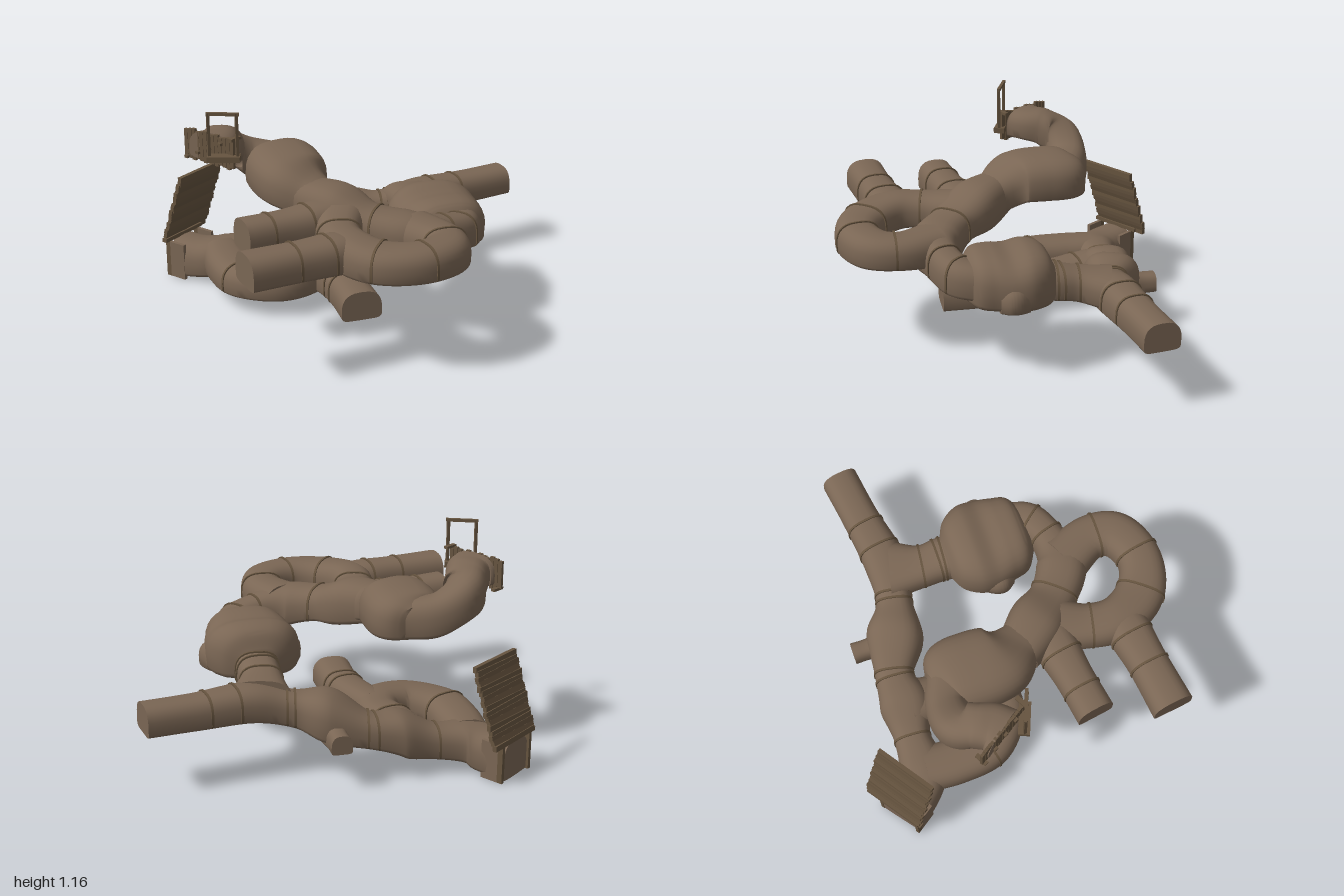
import * as THREE from 'three';
import { toCreasedNormals } from 'three/addons/utils/BufferGeometryUtils.js';

const rock = new THREE.MeshStandardMaterial({ color: 0x7a6654 });
rock.name = 'brown rock';
const timber = new THREE.MeshStandardMaterial({ color: 0x66543f });
timber.name = 'dark timber';

const SIDES = 28;

// Arch with a broad flat floor, half width 1 and height 1
function archPoint(j) {
  const a = (j / SIDES) * Math.PI * 2;
  const c = Math.cos(a), s = Math.sin(a);
  const x = Math.sign(c) * Math.pow(Math.abs(c), s >= 0 ? 0.72 : 0.35);
  const y = s >= 0 ? 0.38 + 0.62 * Math.pow(s, 0.82) : 0.38 - 0.38 * Math.pow(-s, 0.3);
  return [x, y];
}

// Closed solid from a row of sections { pos, dir, w, h }
function sweep(sections) {
  const pos = [], idx = [];
  const n = sections.length;
  for (const { pos: p, dir, w, h } of sections) {
    for (let j = 0; j < SIDES; j++) {
      const [u, v] = archPoint(j);
      pos.push(p.x - dir.z * u * w, p.y + v * h, p.z + dir.x * u * w);
    }
  }
  for (let i = 0; i < n - 1; i++) {
    for (let j = 0; j < SIDES; j++) {
      const k = (j + 1) % SIDES, a = i * SIDES, b = a + SIDES;
      idx.push(a + j, b + j, a + k, a + k, b + j, b + k);
    }
  }
  for (const [i, first] of [[0, true], [n - 1, false]]) {
    const s = sections[i], c = pos.length / 3;
    pos.push(s.pos.x, s.pos.y + s.h * 0.45, s.pos.z);
    for (let j = 0; j < SIDES; j++) {
      const a = i * SIDES + j, b = i * SIDES + (j + 1) % SIDES;
      if (first) idx.push(c, a, b); else idx.push(c, b, a);
    }
  }
  const g = new THREE.BufferGeometry();
  g.setAttribute('position', new THREE.Float32BufferAttribute(pos, 3));
  g.setIndex(idx);
  return toCreasedNormals(g, 0.8);
}

// Tunnel through points [x, floor y, z, half width, height]; timber arches near [x, z]
function tunnel(parent, name, points, arches = []) {
  const path = new THREE.CatmullRomCurve3(points.map(p => new THREE.Vector3(p[0], p[1], p[2])), false, 'catmullrom');
  const size = new THREE.CatmullRomCurve3(points.map(p => new THREE.Vector3(p[3], p[4], 0)), false, 'catmullrom');
  const at = t => {
    const s = size.getPoint(t);
    return { pos: path.getPoint(t), dir: path.getTangent(t).setY(0).normalize(), w: s.x, h: s.y };
  };
  const steps = (points.length - 1) * 8;
  const sections = Array.from({ length: steps + 1 }, (_, i) => at(i / steps));
  const mesh = new THREE.Mesh(sweep(sections), rock);
  mesh.name = name;
  parent.add(mesh);

  for (const [x, z] of arches) {
    let best = 0, dist = Infinity;
    for (let i = 0; i <= 200; i++) {
      const p = path.getPoint(i / 200);
      const d = Math.hypot(p.x - x, p.z - z);
      if (d < dist) { dist = d; best = i / 200; }
    }
    const s = at(best);
    const ends = [-0.006, 0.006].map(o => ({
      pos: s.pos.clone().addScaledVector(s.dir, o).setY(s.pos.y + 0.003),
      dir: s.dir, w: s.w + 0.005, h: s.h + 0.004
    }));
    const arch = new THREE.Mesh(sweep(ends), timber);
    arch.name = 'timberArch';
    parent.add(arch);
  }
}

function box(parent, name, size, position, rotY = 0, material = timber) {
  const m = new THREE.Mesh(new THREE.BoxGeometry(...size), material);
  m.name = name;
  m.position.set(...position);
  m.rotation.y = rotY;
  parent.add(m);
  return m;
}

export function createModel() {
  const model = new THREE.Group();
  model.name = 'tunnelNetwork';

  // Upper level: two dead ends and the loop
  tunnel(model, 'frontTunnel', [
    [-0.925, 0.555, 0.69, 0.11, 0.17], [-0.65, 0.55, 0.655, 0.105, 0.17],
    [-0.42, 0.545, 0.62, 0.115, 0.175], [-0.3, 0.545, 0.6, 0.07, 0.14]
  ], [[-0.67, 0.66], [-0.49, 0.63]]);
  tunnel(model, 'secondTunnel', [
    [-0.825, 0.56, 0.3, 0.1, 0.17], [-0.6, 0.555, 0.265, 0.1, 0.17],
    [-0.42, 0.555, 0.235, 0.115, 0.18], [-0.25, 0.56, 0.2, 0.12, 0.18]
  ], [[-0.68, 0.28], [-0.47, 0.245]]);
  tunnel(model, 'loopTunnel', [
    [-0.28, 0.56, 0.24, 0.14, 0.18], [-0.355, 0.55, 0.42, 0.115, 0.17], [-0.37, 0.545, 0.6, 0.12, 0.18],
    [-0.27, 0.535, 0.765, 0.13, 0.17], [-0.09, 0.53, 0.83, 0.118, 0.17], [0.08, 0.525, 0.765, 0.12, 0.17],
    [0.12, 0.52, 0.62, 0.118, 0.165], [0.04, 0.49, 0.43, 0.14, 0.2]
  ], [[-0.35, 0.45], [-0.27, 0.765], [-0.05, 0.83], [0.125, 0.66]]);
  tunnel(model, 'crossTunnel', [
    [-0.4, 0.6, 0.02, 0.12, 0.19], [-0.26, 0.55, 0.18, 0.15, 0.235], [-0.14, 0.53, 0.315, 0.125, 0.18],
    [0.03, 0.48, 0.43, 0.135, 0.21], [0.2, 0.47, 0.42, 0.095, 0.18], [0.34, 0.44, 0.355, 0.1, 0.18],
    [0.38, 0.42, 0.24, 0.11, 0.18]
  ], [[-0.12, 0.33], [0.22, 0.415], [0.33, 0.36]]);

  // High room and the spiral rising to the upper portal
  tunnel(model, 'highRoom', [
    [-0.27, 0.57, 0.16, 0.11, 0.18], [-0.36, 0.61, 0.04, 0.13, 0.19], [-0.42, 0.645, -0.08, 0.19, 0.225],
    [-0.425, 0.65, -0.24, 0.205, 0.235], [-0.42, 0.65, -0.37, 0.185, 0.225], [-0.44, 0.66, -0.45, 0.09, 0.17]
  ]);
  tunnel(model, 'risingTunnel', [
    [-0.43, 0.65, -0.36, 0.12, 0.2], [-0.56, 0.67, -0.42, 0.11, 0.21], [-0.69, 0.755, -0.41, 0.115, 0.21],
    [-0.745, 0.825, -0.33, 0.11, 0.185], [-0.785, 0.855, -0.255, 0.12, 0.16], [-0.835, 0.86, -0.215, 0.14, 0.155]
  ]);

  // Wide chamber in two lobes with a square rib between them
  tunnel(model, 'wideChamber', [
    [0.31, 0.4, -0.14, 0.1, 0.14], [0.31, 0.38, -0.09, 0.19, 0.25], [0.31, 0.375, 0, 0.245, 0.285],
    [0.31, 0.375, 0.1, 0.25, 0.265], [0.31, 0.38, 0.19, 0.23, 0.27], [0.31, 0.39, 0.28, 0.2, 0.25],
    [0.31, 0.42, 0.345, 0.1, 0.15]
  ]);
  tunnel(model, 'chamberRib', [
    [0.31, 0.375, 0.03, 0.25, 0.15], [0.31, 0.375, 0.08, 0.275, 0.18],
    [0.31, 0.375, 0.13, 0.275, 0.18], [0.31, 0.375, 0.18, 0.24, 0.15]
  ]);
  tunnel(model, 'chamberTunnel', [
    [0.31, 0.38, -0.02, 0.12, 0.19], [0.325, 0.37, -0.15, 0.115, 0.17], [0.33, 0.35, -0.28, 0.115, 0.16],
    [0.37, 0.325, -0.44, 0.165, 0.175]
  ], [[0.325, -0.15], [0.33, -0.18], [0.33, -0.27]]);

  // Sloping tunnel from the left end down to the lower portal
  tunnel(model, 'slopingTunnel', [
    [0.985, 0.325, -0.535, 0.1, 0.155], [0.72, 0.32, -0.495, 0.1, 0.16], [0.42, 0.315, -0.45, 0.115, 0.175],
    [0.2, 0.27, -0.475, 0.1, 0.17], [0.03, 0.21, -0.53, 0.155, 0.235], [-0.16, 0.17, -0.6, 0.105, 0.165],
    [-0.33, 0.11, -0.595, 0.14, 0.215], [-0.5, 0.08, -0.615, 0.1, 0.165], [-0.68, 0.045, -0.62, 0.13, 0.19],
    [-0.79, 0.015, -0.7, 0.13, 0.2], [-0.875, 0.003, -0.81, 0.12, 0.21]
  ], [[0.66, -0.49], [0.5, -0.46], [0.24, -0.47], [0.2, -0.475], [-0.15, -0.6], [-0.19, -0.6], [-0.51, -0.615]]);
  tunnel(model, 'shortStub', [
    [0.03, 0.2, -0.55, 0.08, 0.14], [0.03, 0.2, -0.68, 0.055, 0.11], [0.03, 0.205, -0.775, 0.055, 0.1]
  ]);

  // Lower ring with a small gap, and its dead end
  tunnel(model, 'lowerRing', [
    [-0.69, 0.06, -0.6, 0.12, 0.18], [-0.7, 0.075, -0.41, 0.125, 0.165], [-0.67, 0.085, -0.22, 0.125, 0.16],
    [-0.51, 0.09, -0.1, 0.125, 0.165], [-0.35, 0.095, -0.15, 0.125, 0.175], [-0.3, 0.1, -0.28, 0.115, 0.17],
    [-0.33, 0.105, -0.43, 0.12, 0.175], [-0.33, 0.11, -0.57, 0.14, 0.19]
  ], [[-0.68, -0.25], [-0.31, -0.42]]);
  tunnel(model, 'lowerDeadEnd', [
    [-0.3, 0.1, -0.2, 0.1, 0.17], [-0.23, 0.1, -0.02, 0.105, 0.175], [-0.21, 0.1, 0.16, 0.105, 0.165],
    [-0.215, 0.1, 0.37, 0.11, 0.16]
  ], [[-0.22, 0.06], [-0.205, 0.13]]);

  // Overlapping uneven slats of the sloping roof over the lower portal
  const roof = new THREE.Group();
  roof.name = 'portalRoof';
  const turn = Math.atan2(0.2, 0.29);
  const rows = 16;
  for (let i = 0; i <= rows; i++) {
    const f = i / rows;
    const slat = box(roof, 'roofSlat', [0.335 + ((i * 7) % 5) * 0.006, 0.03, 0.022],
      [-0.85 + 0.075 * f, 0.225 + 0.385 * f, -0.835 + 0.115 * f], turn);
    slat.rotation.order = 'YXZ';
    slat.rotation.x = 0.05 + ((i * 3) % 4) * 0.1;
    slat.rotation.z = (((i * 5) % 7) - 3) * 0.008;
  }
  model.add(roof);

  // Boarded frame around the lower portal
  const gate = new THREE.Group();
  gate.name = 'lowerPortalFrame';
  gate.position.set(-0.87, 0, -0.805);
  gate.rotation.y = turn;
  for (const s of [-1, 1]) {
    box(gate, 'gatePost', [0.02, 0.21, 0.03], [s * 0.118, 0.106, 0]);
    box(gate, 'sideWall', [0.02, 0.21, 0.1], [s * 0.118, 0.106, 0.065], 0, rock);
  }
  box(gate, 'gateBeam', [0.3, 0.022, 0.03], [0, 0.22, -0.005]);
  model.add(gate);

  // Plank screen across the upper portal
  const screen = new THREE.Group();
  screen.name = 'upperPortalScreen';
  const along = -Math.atan2(0.31, 0.2);
  for (let i = 0; i < 13; i++) {
    const f = i / 12;
    const x = -0.925 + 0.17 * f, z = -0.355 + 0.27 * f;
    box(screen, 'screenPost', [0.024, 0.15 + 0.012 * (i % 3), 0.016], [x, 0.93, z], along);
    if (i % 3 === 0) box(screen, 'screenBatten', [0.07, 0.014, 0.024], [x + 0.015, 0.855 + 0.04 * (i / 3), z], 0.5);
  }
  model.add(screen);

  // Tall hoist frame
  const hoist = new THREE.Group();
  hoist.name = 'hoistFrame';
  const skew = -Math.atan2(0.055, 0.135);
  for (const [x, z] of [[-0.87, -0.115], [-0.735, -0.06]]) {
    box(hoist, 'hoistPost', [0.015, 0.26, 0.015], [x, 1.03, z]);
  }
  box(hoist, 'hoistBeam', [0.17, 0.016, 0.016], [-0.8, 1.155, -0.0875], skew);
  box(hoist, 'hoistDeck', [0.17, 0.03, 0.06], [-0.8, 0.915, -0.09], skew);
  model.add(hoist);

  return model;
}
